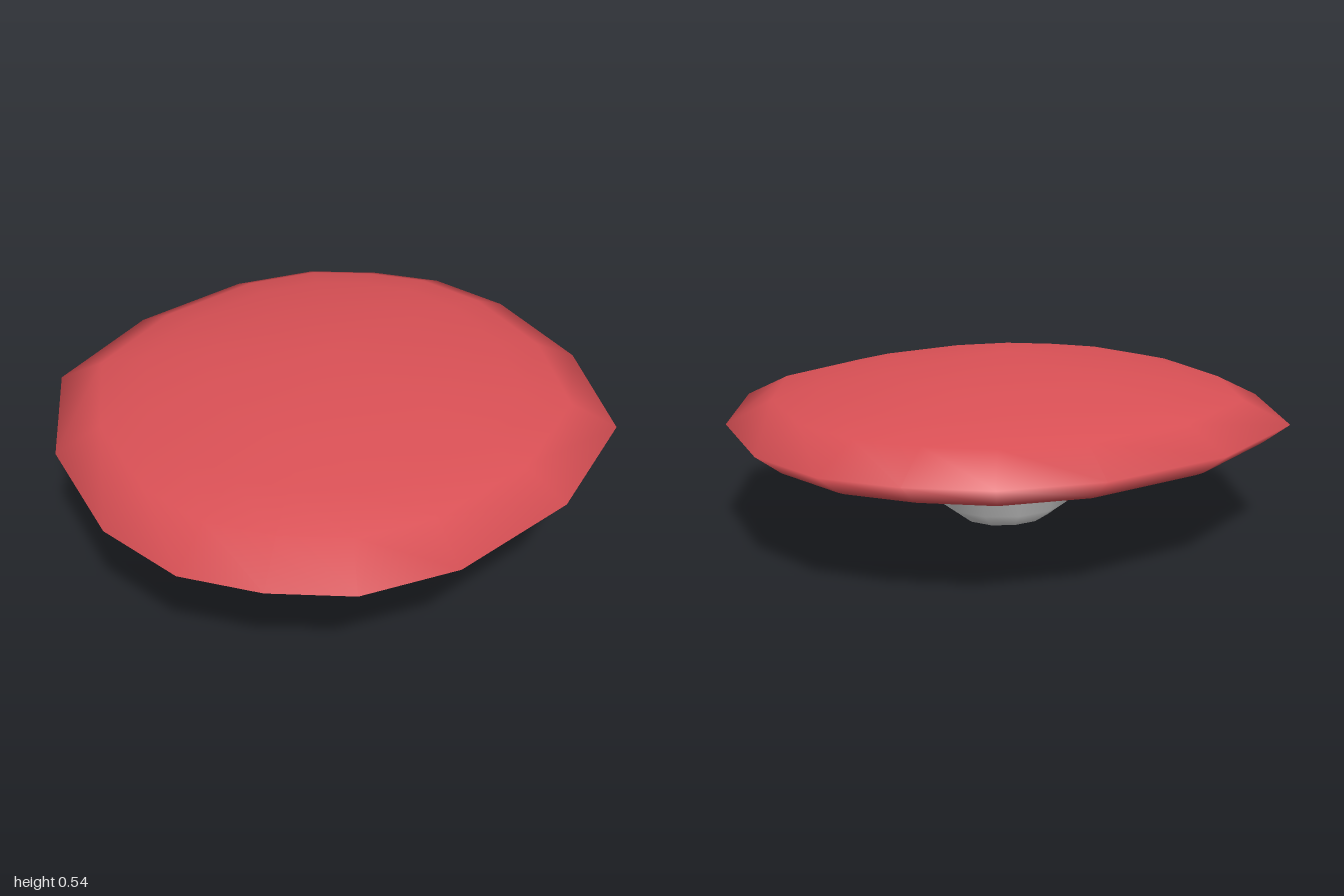
import * as THREE from 'three';
import { mergeVertices } from 'three/addons/utils/BufferGeometryUtils.js';

// Skin a surface over closed rings of [x, y, z] points, ordered from the bottom up
function loft(rings) {
  const n = rings[0].length;
  const index = [];
  for (let i = 0; i < rings.length - 1; i++) {
    for (let j = 0; j < n; j++) {
      const k = (j + 1) % n;
      const a = i * n + j, b = a + n, c = (i + 1) * n + k, d = i * n + k;
      index.push(a, b, c, a, c, d);
    }
  }
  let geo = new THREE.BufferGeometry();
  geo.setAttribute('position', new THREE.Float32BufferAttribute(rings.flat(2), 3));
  geo.setIndex(index);
  geo = mergeVertices(geo);
  geo.computeVertexNormals();
  return geo;
}

// Uneven sixteen-sided outline, mirrored from one quadrant
function capOutline() {
  const q = [[0.915, 0], [0.77, 0.455], [0.5, 0.81], [0.245, 0.97], [0, 1]];
  const half = [...q, ...q.slice(0, 4).reverse().map(([x, z]) => [-x, z])];
  return [...half, ...half.slice(1, -1).reverse().map(([x, z]) => [x, -z])];
}

export function createModel() {
  const group = new THREE.Group();
  const red = new THREE.MeshStandardMaterial({ color: 0xd95055, side: THREE.DoubleSide });
  const grey = new THREE.MeshStandardMaterial({ color: 0xcccccc, side: THREE.DoubleSide });
  const add = (name, geo, mat) => {
    const mesh = new THREE.Mesh(geo, mat);
    mesh.name = name;
    group.add(mesh);
  };

  const outline = capOutline();
  const capRing = ([s, y]) => outline.map(([x, z]) => [x * s, y, z * s]);

  // Shallow domed cap with a turned-under lip: [scale, height]
  add('cap', loft([
    [0.79, 0.277], [0.88, 0.276], [0.91, 0.288], [1, 0.35],
    [0.84, 0.42], [0.67, 0.458], [0.45, 0.494], [0, 0.54],
  ].map(capRing)), red);

  // Flat underside of the cap
  add('gills', loft([[0, 0.277], [0.4, 0.277], [0.79, 0.277]].map(capRing)), grey);

  // Stem: [x radius, z radius, height]
  const sides = 12;
  const stem = [
    [0, 0, 0], [0.145, 0.165, 0], [0.21, 0.24, 0.05],
    [0.237, 0.267, 0.19], [0.29, 0.345, 0.277],
  ].map(([rx, rz, y]) => Array.from({ length: sides }, (_, j) => {
    const a = (j / sides) * Math.PI * 2;
    return [rx * Math.cos(a), y, rz * Math.sin(a)];
  }));
  // Two points of the flare are drawn out into webs, to the front and to the right
  const flare = stem[stem.length - 1];
  flare[sides / 4] = [-0.04, 0.274, 0.55];
  flare[sides / 2] = [-0.48, 0.274, -0.03];
  add('stem', loft(stem), grey);

  return group;
}
